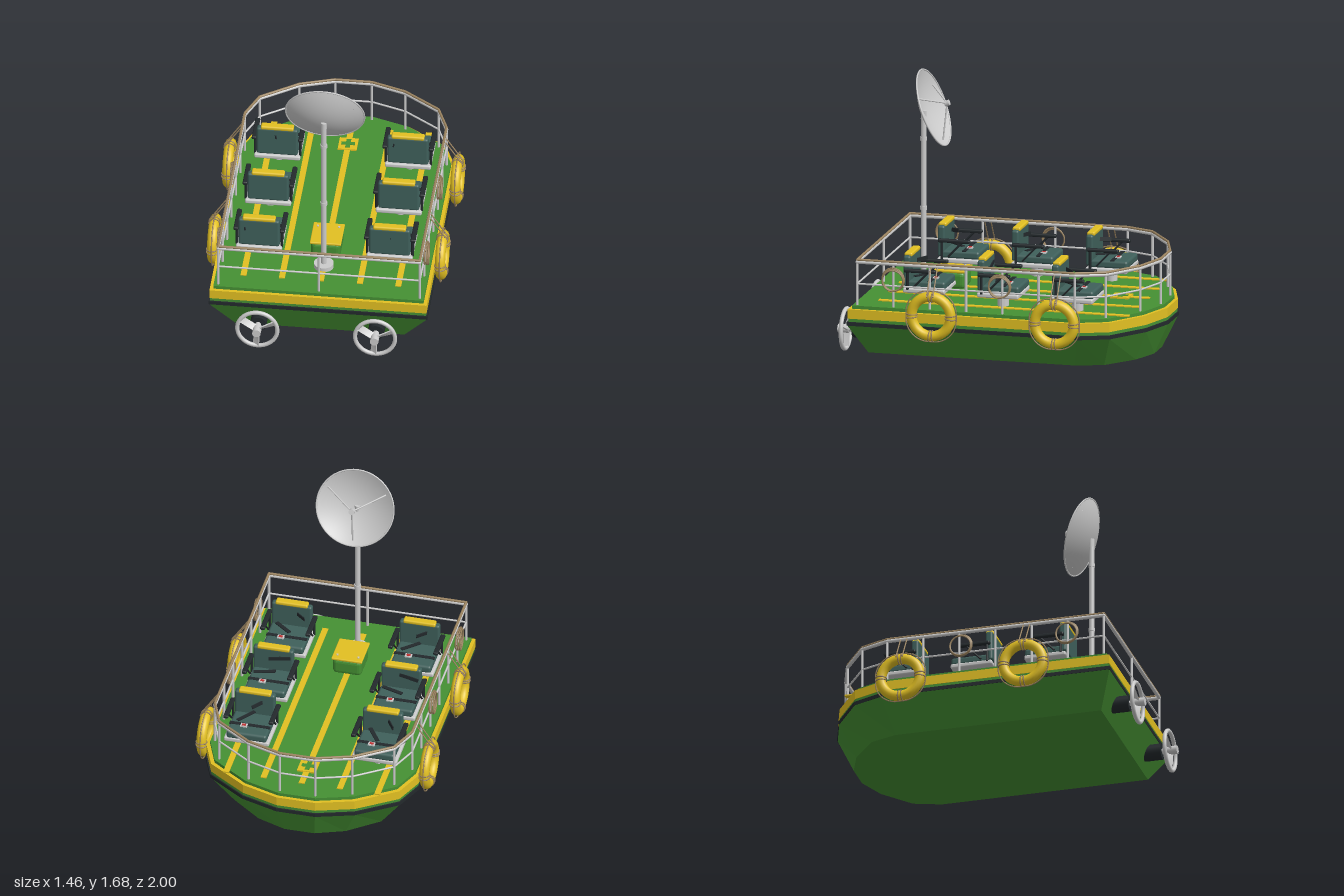
import * as THREE from 'three';
import { RoundedBoxGeometry } from 'three/addons/geometries/RoundedBoxGeometry.js';

const mat = (color, extra = {}) => new THREE.MeshStandardMaterial({ color, ...extra });
const GREY = mat(0xcccccc), GREY_THIN = mat(0xcccccc, { side: THREE.DoubleSide });
const GREEN = mat(0x459033, { flatShading: true }), YELLOW = mat(0xe2c022);
const DARK = mat(0x23292c), TEAL = mat(0x3f605b), ROPE = mat(0x9c8460);
const RED = mat(0xc03030), WHITE = mat(0xeeeeee);
const V = (x, y, z) => new THREE.Vector3(x, y, z);

function add(parent, name, geo, material, x = 0, y = 0, z = 0) {
  const m = new THREE.Mesh(geo, material);
  m.name = name;
  m.position.set(x, y, z);
  parent.add(m);
  return m;
}
const box = (w, h, d) => new THREE.BoxGeometry(w, h, d);
const soft = (w, h, d, r) => new RoundedBoxGeometry(w, h, d, 2, r);
const cyl = (r, h, n = 20) => new THREE.CylinderGeometry(r, r, h, n);

// Round bar between two points
function rod(parent, name, a, b, r, material = GREY) {
  const m = add(parent, name, cyl(r, a.distanceTo(b), 10), material);
  m.position.copy(a).add(b).multiplyScalar(0.5);
  m.quaternion.setFromUnitVectors(V(0, 1, 0), b.clone().sub(a).normalize());
  return m;
}

// Deck outline as [x, z], from left stern around the bow to right stern
function outline(inset = 0) {
  const half = [[0.665, 0.865], [0.665, -0.575], [0.59, -0.76], [0.35, -0.925], [0.12, -1]];
  const all = [...half, ...half.slice().reverse().map(([x, z]) => [-x, z])];
  const sx = 1 - inset / 0.665, sz = 1 - inset / 0.9325;
  return all.map(([x, z]) => [x * sx, (z + 0.0675) * sz - 0.0675]);
}
function slab(y0, y1, inset) {
  const shape = new THREE.Shape(outline(inset).map(([x, z]) => new THREE.Vector2(x, -z)));
  const g = new THREE.ExtrudeGeometry(shape, { depth: y1 - y0, bevelEnabled: false });
  return g.rotateX(-Math.PI / 2).translate(0, y0, 0);
}

function makeHull(root) {
  const hull = new THREE.Group();
  hull.name = 'hull';
  root.add(hull);
  // Lower hull narrows toward a flat bottom
  const g = slab(0.04, 0.235, 0.003), p = g.attributes.position;
  for (let i = 0; i < p.count; i++) {
    if (p.getY(i) < 0.1) p.setXYZ(i, p.getX(i) * 0.778, 0.04, (p.getZ(i) + 0.07) * 0.9 - 0.07);
  }
  g.computeVertexNormals();
  add(hull, 'lowerHull', g, GREEN);
  add(hull, 'rubbingStrip', slab(0.235, 0.258, 0), DARK);
  add(hull, 'upperHull', slab(0.258, 0.28, 0.008), GREEN);
  add(hull, 'gunwale', slab(0.278, 0.336, 0.005), YELLOW);
  add(hull, 'deck', slab(0.336, 0.356, 0.026), GREEN);
  // Deck markings
  for (const x of [-0.47, -0.237, 0, 0.237, 0.47])
    add(hull, 'deckStripe', box(0.036, 0.008, 1.565), YELLOW, x, 0.358, -0.067);
  add(hull, 'deckPanel', box(0.115, 0.01, 0.115), YELLOW, 0, 0.361, -0.675);
  add(hull, 'panelBar', box(0.082, 0.006, 0.028), GREEN, 0, 0.366, -0.675);
  add(hull, 'panelBar', box(0.028, 0.006, 0.082), GREEN, 0, 0.3662, -0.675);
  // Locker in front of the mast
  add(hull, 'locker', soft(0.18, 0.105, 0.2, 0.025), GREEN, 0, 0.411, 0.385);
  add(hull, 'lockerLid', soft(0.19, 0.016, 0.21, 0.006), YELLOW, 0, 0.467, 0.385);
  for (const x of [-0.065, 0.065]) add(hull, 'lidBolt', cyl(0.007, 0.006, 8), GREY, x, 0.477, 0.32);
}

function makeRailing(root) {
  const rail = new THREE.Group();
  rail.name = 'railing';
  root.add(rail);
  const pts = outline(0.052);
  pts.forEach(([x, z], i) => {
    const [x2, z2] = pts[(i + 1) % pts.length];
    const bar = (y, r, name, m) => {
      rod(rail, name, V(x, y, z), V(x2, y, z2), r, m);
      add(rail, name + 'Joint', new THREE.SphereGeometry(r, 10, 6), m, x, y, z);
    };
    bar(0.622, 0.011, 'topRail', GREY);
    bar(0.636, 0.008, 'railRope', ROPE);
    bar(0.487, 0.006, 'midRail', GREY);
    // Posts at the corners and along the long runs
    const len = Math.hypot(x2 - x, z2 - z);
    const n = i === pts.length - 1 ? 2 : len > 1 ? 6 : 1;
    for (let k = 0; k < n; k++) {
      const px = x + (x2 - x) * k / n, pz = z + (z2 - z) * k / n;
      rod(rail, 'railPost', V(px, 0.35, pz), V(px, 0.622, pz), 0.008);
    }
  });
  // Coiled ropes hung on the side rails
  for (const s of [-1, 1]) for (const z of [0.585, -0.08]) for (let k = 0; k < 3; k++) {
    const c = add(rail, 'ropeCoil', new THREE.TorusGeometry(0.07 - k * 0.003, 0.005, 6, 28), ROPE,
      s * (0.624 + k * 0.008), 0.53 - k * 0.003, z);
    c.rotation.set(0, Math.PI / 2 + (k - 1) * 0.06, 0);
  }
}

function makeSeat(x, z) {
  const s = new THREE.Group();
  s.name = 'seat';
  s.position.set(x, 0, z);
  add(s, 'pedestal', cyl(0.035, 0.08), GREY, 0, 0.395, 0);
  add(s, 'seatFrame', soft(0.28, 0.03, 0.26, 0.01), GREY, 0, 0.444, 0);
  add(s, 'cushion', soft(0.25, 0.05, 0.245, 0.016), TEAL, 0, 0.48, -0.008);
  add(s, 'backrest', soft(0.25, 0.19, 0.045, 0.014), TEAL, 0, 0.56, 0.108);
  add(s, 'headrest', soft(0.2, 0.026, 0.05, 0.01), YELLOW, 0, 0.657, 0.106);
  for (const d of [-1, 1]) {
    add(s, 'armrest', soft(0.03, 0.022, 0.2, 0.008), DARK, d * 0.141, 0.57, 0.02);
    rod(s, 'armSupport', V(d * 0.137, 0.45, 0.1), V(d * 0.137, 0.57, 0.1), 0.008, DARK);
    rod(s, 'armBrace', V(d * 0.137, 0.47, 0.06), V(d * 0.137, 0.565, -0.03), 0.006, DARK);
  }
  // Harness
  add(s, 'lapStrap', box(0.252, 0.006, 0.024), DARK, 0, 0.505, -0.035);
  add(s, 'buckle', box(0.042, 0.01, 0.032), WHITE, 0.033, 0.508, -0.05);
  add(s, 'buckleButton', box(0.024, 0.012, 0.018), RED, 0.033, 0.509, -0.05);
  const strap = [V(0.07, 0.507, -0.03), V(0.005, 0.545, 0.08), V(-0.09, 0.645, 0.084)];
  for (let i = 0; i < 2; i++) {
    const m = add(s, 'shoulderStrap', box(0.024, 0.006, strap[i].distanceTo(strap[i + 1])), DARK);
    m.position.copy(strap[i]).add(strap[i + 1]).multiplyScalar(0.5);
    m.up.set(0, i ? 0 : 1, i ? -1 : 0);
    m.lookAt(strap[i + 1]);
  }
  return s;
}

function makeLifebuoy(side, z) {
  const b = new THREE.Group();
  b.name = 'lifebuoy';
  b.position.set(side * 0.693, 0.333, z);
  const ring = add(b, 'buoyRing', new THREE.TorusGeometry(0.122, 0.031, 14, 40), YELLOW);
  ring.rotation.y = Math.PI / 2;
  // Bands around the ring and the outer grab line between them
  for (let k = 0; k < 4; k++) {
    const a = k * Math.PI / 2;
    const holder = new THREE.Group();
    holder.rotation.x = a;
    b.add(holder);
    for (const off of [-0.08, 0.08]) {
      const turn = new THREE.Group();
      turn.rotation.x = off;
      holder.add(turn);
      add(turn, 'buoyBand', new THREE.TorusGeometry(0.033, 0.004, 6, 18), ROPE, 0, 0.122, 0);
    }
    const line = [];
    for (let j = 0; j <= 6; j++) {
      const t = j / 6 * Math.PI / 2, r = 0.157 + 0.008 * Math.sin(2 * t);
      line.push(V(0, r * Math.cos(t), r * Math.sin(t)));
    }
    add(holder, 'grabLine', new THREE.TubeGeometry(new THREE.CatmullRomCurve3(line), 14, 0.004, 6), ROPE);
  }
  // Ropes up to the top rail
  for (const d of [-0.02, 0.02])
    rod(b, 'hangingRope', V(side * 0.033, 0.125, d), V(side * -0.08, 0.297, d), 0.004, ROPE);
  return b;
}

function makeAntenna(root) {
  const a = new THREE.Group();
  a.name = 'antenna';
  root.add(a);
  add(a, 'mastBase', cyl(0.06, 0.028, 28), GREY, 0, 0.37, 0.563);
  add(a, 'mast', cyl(0.017, 1.035), GREY, 0, 0.873, 0.563);
  for (const y of [0.83, 1.26]) add(a, 'mastCollar', cyl(0.021, 0.022), GREY, 0, y, 0.563);
  // Dish tilted up toward the bow, opening along its own y axis
  const dish = new THREE.Group();
  dish.name = 'dish';
  dish.position.set(0, 1.458, 0.5);
  dish.rotation.x = -1.209;
  a.add(dish);
  const profile = [];
  for (let i = 0; i <= 10; i++) profile.push(new THREE.Vector2(0.24 * i / 10, 0.066 * ((i / 10) ** 2 - 1)));
  add(dish, 'reflector', new THREE.LatheGeometry(profile, 48), GREY_THIN);
  add(dish, 'dishRim', new THREE.TorusGeometry(0.24, 0.005, 8, 48), GREY).rotation.x = Math.PI / 2;
  for (const deg of [30, 150, 270]) {
    const t = deg * Math.PI / 180;
    rod(dish, 'feedStrut', V(0.207 * Math.cos(t), -0.015, 0.207 * Math.sin(t)), V(0, 0.09, 0), 0.005);
  }
  add(dish, 'feed', cyl(0.018, 0.028, 16), GREY, 0, 0.09, 0);
  rod(a, 'dishBracket', V(0, 1.38, 0.563), V(0, 1.435, 0.562), 0.018);
}

function makePropeller(x) {
  const p = new THREE.Group();
  p.name = 'propeller';
  p.position.set(x, 0.14, 0);
  add(p, 'driveHousing', cyl(0.05, 0.2, 24), DARK, 0, 0, 0.805).rotation.x = Math.PI / 2;
  add(p, 'shaft', cyl(0.018, 0.08), GREY, 0, 0, 0.93).rotation.x = Math.PI / 2;
  add(p, 'hub', cyl(0.026, 0.07), GREY, 0, 0, 0.965).rotation.x = Math.PI / 2;
  add(p, 'guardRing', new THREE.TorusGeometry(0.122, 0.013, 10, 40), GREY, 0, 0, 0.952);
  // Twisted blades reaching the ring
  const g = box(0.105, 0.042, 0.008).toNonIndexed().translate(0.07, 0, 0);
  const blade = new THREE.BoxGeometry(0.105, 0.042, 0.008, 6, 1, 1).translate(0.07, 0, 0);
  g.dispose();
  const q = blade.attributes.position;
  for (let i = 0; i < q.count; i++) {
    const r = q.getX(i), t = 0.95 - r * 4, y = q.getY(i), z = q.getZ(i);
    q.setXYZ(i, r, y * Math.cos(t) - z * Math.sin(t), y * Math.sin(t) + z * Math.cos(t));
  }
  blade.computeVertexNormals();
  for (let k = 0; k < 3; k++)
    add(p, 'blade', blade, GREY, 0, 0, 0.952).rotation.z = 0.45 + k * Math.PI * 2 / 3;
  return p;
}

export function createModel() {
  const root = new THREE.Group();
  root.name = 'rescueBoat';
  makeHull(root);
  makeRailing(root);
  makeAntenna(root);
  for (const s of [-1, 1]) {
    for (const z of [-0.507, -0.042, 0.42]) root.add(makeSeat(s * 0.397, z));
    for (const z of [0.33, -0.44]) root.add(makeLifebuoy(s, z));
    root.add(makePropeller(s * 0.358));
  }
  return root;
}
